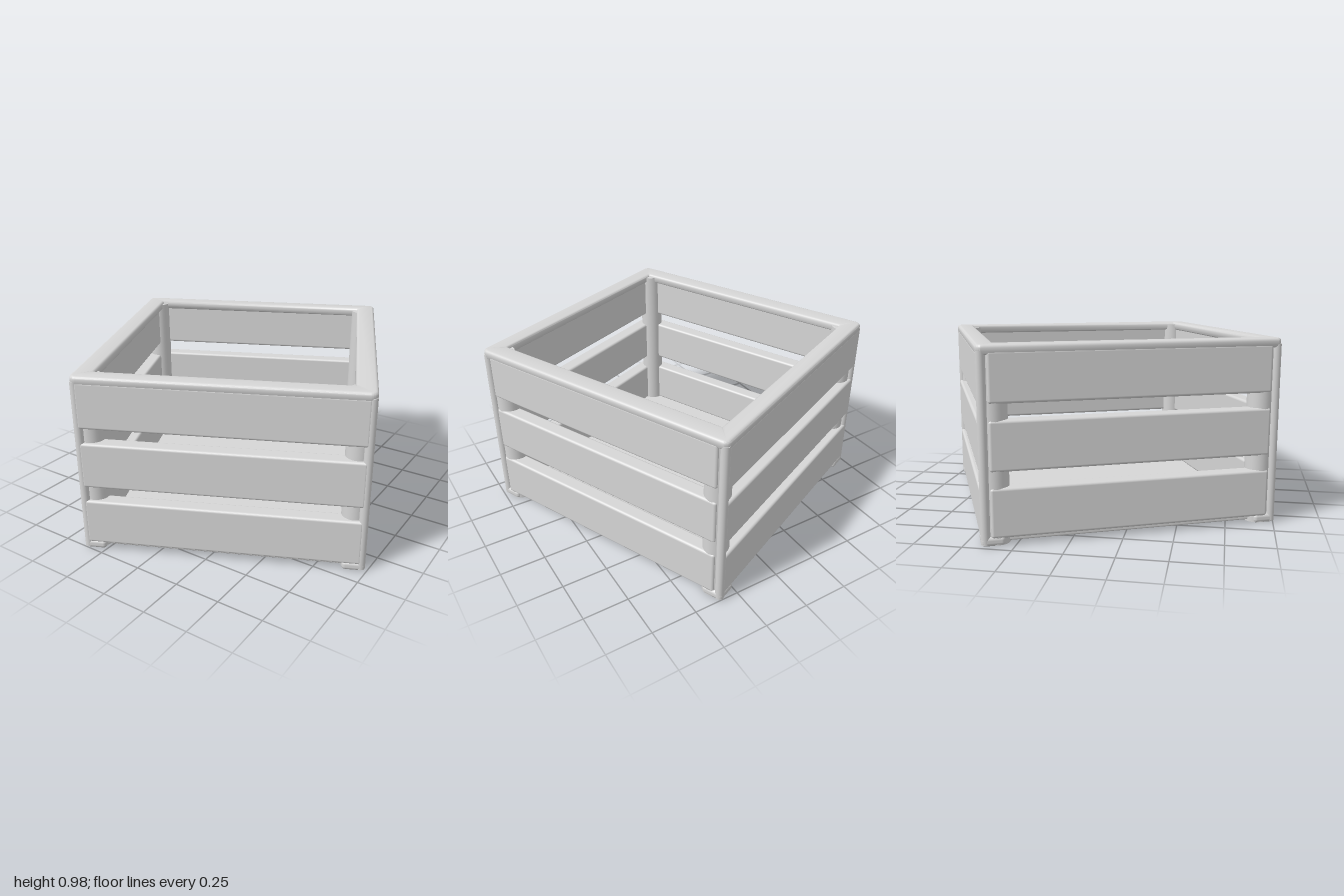
import * as THREE from 'three';
import { RoundedBoxGeometry } from 'three/addons/geometries/RoundedBoxGeometry.js';
import { toCreasedNormals } from 'three/addons/utils/BufferGeometryUtils.js';

const HALF_W = 0.743, HALF_D = 0.776; // outer half sizes of the crate
const wood = new THREE.MeshStandardMaterial({ color: 0xd6d6d6 });
wood.name = 'pale grey wood';

function roundedRect(Target, w, d, r) {
  const p = new Target();
  p.moveTo(-w + r, -d);
  p.lineTo(w - r, -d);
  p.absarc(w - r, -d + r, r, -Math.PI / 2, 0);
  p.lineTo(w, d - r);
  p.absarc(w - r, d - r, r, 0, Math.PI / 2);
  p.lineTo(-w + r, d);
  p.absarc(-w + r, d - r, r, Math.PI / 2, Math.PI);
  p.lineTo(-w, -d + r);
  p.absarc(-w + r, -d + r, r, Math.PI, Math.PI * 1.5);
  return p;
}

export function createModel() {
  const crate = new THREE.Group();
  crate.name = 'crate';

  const add = (name, geometry, x, y, z) => {
    const mesh = new THREE.Mesh(geometry, wood);
    mesh.name = name;
    mesh.position.set(x, y, z);
    crate.add(mesh);
  };
  const bar = (name, w, h, d, r, x, y, z) =>
    add(name, new RoundedBoxGeometry(w, h, d, 4, r), x, y, z);

  // Floor panel
  bar('floor', 1.41, 0.03, 1.48, 0.008, 0, 0.028, 0);

  // Round corner posts, each with a slim outer edge and a foot
  const edge = 0.024;
  for (const sx of [-1, 1]) for (const sz of [-1, 1]) {
    add('cornerPost', new THREE.CylinderGeometry(0.067, 0.067, 0.96, 28), sx * 0.673, 0.485, sz * 0.692);
    add('cornerEdge', new THREE.CylinderGeometry(edge, edge, 0.94, 16),
      sx * (HALF_W - edge), 0.48, sz * (HALF_D - edge));
    bar('foot', 0.12, 0.05, 0.12, 0.02, sx * (HALF_W - 0.061), 0.025, sz * (HALF_D - 0.061));
  }

  // Three thick slats on each of the four sides
  const thick = 0.085;
  for (const y of [0.165, 0.495, 0.825]) for (const s of [-1, 1]) {
    bar('slat', 1.44, 0.25, thick, 0.014, 0, y, s * (HALF_D - thick / 2));
    bar('sideSlat', thick, 0.25, 1.45, 0.014, s * (HALF_W - thick / 2), y, 0);
  }

  // Flat top rim with rounded edges
  const bevel = 0.016;
  const outline = roundedRect(THREE.Shape, HALF_W - bevel, HALF_D - bevel, 0.02);
  outline.holes.push(roundedRect(THREE.Path, 0.636 + bevel, 0.68 + bevel, 0.018));
  const rim = new THREE.ExtrudeGeometry(outline, {
    depth: 0.05 - 2 * bevel, bevelEnabled: true, bevelSize: bevel,
    bevelThickness: bevel, bevelSegments: 4, curveSegments: 6,
  });
  rim.rotateX(-Math.PI / 2);
  add('topRim', toCreasedNormals(rim, 0.7), 0, 0.93 + bevel, 0);

  // The crate stands turned on its base
  crate.rotation.y = 0.423;
  const model = new THREE.Group();
  model.name = 'slattedCrate';
  model.add(crate);
  return model;
}
